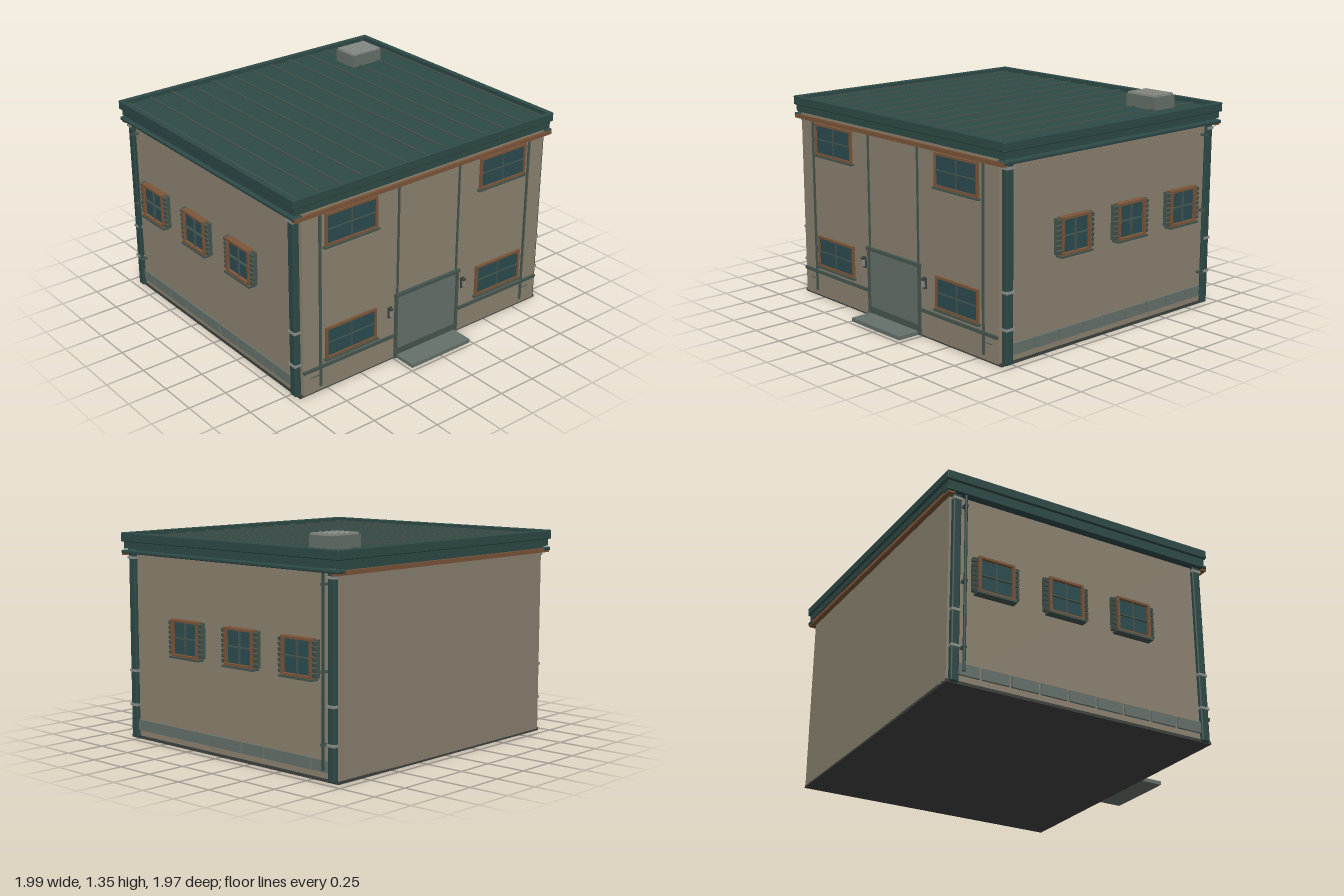
import * as THREE from 'three';
import { RoundedBoxGeometry } from 'three/addons/geometries/RoundedBoxGeometry.js';

const mat = (color) => new THREE.MeshStandardMaterial({ color });
const WALL = mat(0x8c8371), TEAL = mat(0x2e4a47), TRIM = mat(0x46564f), WOOD = mat(0x7c563a),
  GLASS = mat(0x2c4c50), PANEL = mat(0x66716a), METAL = mat(0x8d918a), DARK = mat(0x3e423e);

// Box given by its extents on each axis
function box(parent, name, m, [x0, x1], [y0, y1], [z0, z1], radius = 0) {
  const s = [x1 - x0, y1 - y0, z1 - z0];
  const g = radius ? new RoundedBoxGeometry(...s, 2, radius) : new THREE.BoxGeometry(...s);
  const mesh = new THREE.Mesh(g, m);
  mesh.name = name;
  mesh.position.set((x0 + x1) / 2, (y0 + y1) / 2, (z0 + z1) / 2);
  parent.add(mesh);
  return mesh;
}

// Window facing +z, origin at its centre on the wall
function makeWindow(w, h, depth, shutters) {
  const g = new THREE.Group(), a = w / 2, b = h / 2, t = 0.014;
  g.name = 'window';
  box(g, 'glass', GLASS, [-a + t, a - t], [-b + t, b - t], [-0.01, depth * 0.5]);
  for (const s of [-1, 1]) {
    const o = [s * a, s * (a - t)].sort((p, q) => p - q);
    const v = [s * b, s * (b - t)].sort((p, q) => p - q);
    box(g, 'frameSide', WOOD, o, [-b, b], [-0.01, depth]);
    box(g, 'frameRail', WOOD, [-a + t, a - t], v, [-0.01, depth]);
    if (!shutters) continue;
    // Narrow louvred shutter
    const c = s * (a + 0.016);
    box(g, 'shutter', TRIM, [c - 0.012, c + 0.012], [-b + 0.005, b - 0.005], [-0.01, depth * 0.4]);
    for (let i = 0; i < 7; i++) {
      const y = -b + 0.022 + i * (h - 0.044) / 6;
      box(g, 'shutterSlat', TRIM, [c - 0.015, c + 0.015], [y - 0.011, y + 0.011], [0, depth * 0.75]).rotation.x = 0.2;
    }
  }
  box(g, 'mullion', TRIM, [-0.004, 0.004], [-b + t, b - t], [0, depth * 0.8]);
  box(g, 'transom', TRIM, [-a + t, a - t], [-0.004, 0.004], [0, depth * 0.8]);
  box(g, 'sill', TRIM, [-a - 0.012, a + 0.012], [-b - 0.012, -b], [-0.01, depth + 0.006]);
  return g;
}

// Everything on one long side, built on the +x side
function makeSide() {
  const g = new THREE.Group();
  g.name = 'sideWallDetails';
  for (const z of [0.274, -0.193, -0.657]) {
    const w = makeWindow(0.232, 0.224, 0.04, true);
    w.position.set(0.95, 0.682, z);
    w.rotation.y = Math.PI / 2;
    g.add(w);
  }
  for (let i = 0; i < 9; i++) {
    const z = 0.665 - i * 0.187;
    box(g, 'plinthPanel', PANEL, [0.94, 0.958], [0.055, 0.122], [z - 0.086, z + 0.086]);
  }
  // Corner posts with clamps
  for (const [z0, z1] of [[0.747, 0.803], [-0.93, -0.878]]) {
    box(g, 'cornerPost', TEAL, [0.92, 0.968], [0.004, 1.19], [z0, z1], 0.01);
    for (const y of [0.215, 0.432, 1.138])
      box(g, 'postClamp', METAL, [0.918, 0.973], [y - 0.008, y + 0.008], [z0 - 0.003, z1 + 0.003]);
  }
  // Downpipe and gutter
  const pipe = new THREE.Mesh(new THREE.CylinderGeometry(0.009, 0.009, 1.1, 12), TEAL);
  pipe.name = 'downpipe';
  pipe.position.set(0.977, 0.62, -0.855);
  g.add(pipe);
  for (const y of [0.215, 0.62, 1.1])
    box(g, 'pipeBracket', TRIM, [0.94, 0.988], [y - 0.007, y + 0.007], [-0.867, -0.843]);
  box(g, 'gutter', TEAL, [0.93, 0.994], [1.163, 1.184], [-0.98, 0.84], 0.006);
  box(g, 'sideParapet', TEAL, [0.965, 0.995], [1.235, 1.292], [-0.984, 0.843], 0.006);
  return g;
}

// Half of the front, built on the +x side
function makeFrontHalf() {
  const g = new THREE.Group();
  g.name = 'frontDetails';
  for (const y of [1.045, 0.314]) {
    const w = makeWindow(0.374, 0.202, 0.016, false);
    w.position.set(0.585, y, 0.828);
    g.add(w);
  }
  box(g, 'wallStrip', TRIM, [0.799, 0.815], [0.04, 1.16], [0.82, 0.836]);
  box(g, 'centreStrip', TRIM, [0.228, 0.24], [0.45, 1.17], [0.82, 0.836]);
  box(g, 'waterTable', TRIM, [0.262, 0.93], [0.16, 0.18], [0.82, 0.84]);
  box(g, 'wallVent', TRIM, [0.812, 0.878], [0.114, 0.118], [0.82, 0.831]);
  box(g, 'doorJamb', TRIM, [0.234, 0.252], [0.01, 0.435], [0.82, 0.842]);
  // Wall lamp
  box(g, 'lampPlate', DARK, [0.277, 0.305], [0.308, 0.378], [0.82, 0.838]);
  box(g, 'lampShade', METAL, [0.284, 0.298], [0.32, 0.362], [0.835, 0.85]);
  box(g, 'lampCap', DARK, [0.28, 0.302], [0.362, 0.372], [0.835, 0.855]);
  return g;
}

function mirrored(parent, make) {
  for (const s of [1, -1]) {
    const g = make();
    g.scale.x = s;
    parent.add(g);
  }
}

export function createModel() {
  const model = new THREE.Group();
  model.name = 'building';

  // Walls and base
  box(model, 'mainWalls', WALL, [-0.945, 0.945], [0.012, 1.2], [-0.925, 0.8]);
  box(model, 'frontWall', WALL, [-0.93, 0.93], [0.012, 1.2], [0.79, 0.828]);
  box(model, 'backWall', WALL, [-0.94, 0.94], [0.012, 1.2], [-0.945, -0.92]);
  box(model, 'basePlate', DARK, [-0.95, 0.95], [0, 0.018], [-0.945, 0.822]);
  mirrored(model, makeSide);
  mirrored(model, makeFrontHalf);

  // Doorway
  box(model, 'door', PANEL, [-0.236, 0.236], [0.03, 0.435], [0.82, 0.832]);
  box(model, 'doorKickPlate', TRIM, [-0.234, 0.234], [0.03, 0.07], [0.825, 0.838]);
  box(model, 'doorLintel', TRIM, [-0.258, 0.258], [0.432, 0.452], [0.82, 0.848]);
  box(model, 'doorstep', PANEL, [-0.234, 0.23], [0.006, 0.03], [0.8, 0.982]);

  // Cornice
  box(model, 'frontFrieze', WOOD, [-0.985, 0.985], [1.152, 1.178], [0.81, 0.844]);
  box(model, 'backFrieze', WOOD, [-0.985, 0.985], [1.152, 1.178], [-0.975, -0.93]);
  box(model, 'corniceCore', TEAL, [-0.955, 0.955], [1.176, 1.2], [-0.955, 0.825]);
  box(model, 'corniceBand', TEAL, [-0.978, 0.978], [1.192, 1.235], [-0.972, 0.832]);

  // Roof deck, parapet and standing seams
  box(model, 'roofDeck', TEAL, [-0.98, 0.98], [1.235, 1.262], [-0.975, 0.835]);
  box(model, 'frontParapet', TEAL, [-0.995, 0.995], [1.235, 1.292], [0.815, 0.843], 0.006);
  box(model, 'backParapet', TEAL, [-0.995, 0.995], [1.235, 1.292], [-0.984, -0.956], 0.006);
  for (let i = -6; i <= 6; i++) {
    const x = i * 0.156;
    box(model, 'roofSeam', TRIM, [x - 0.004, x + 0.004], [1.26, 1.272], [-0.956, 0.815]);
  }

  // Rooftop vent
  box(model, 'roofVent', PANEL, [0.562, 0.8], [1.26, 1.342], [-0.757, -0.58]);
  for (let i = 0; i < 8; i++) {
    const z = -0.745 + i * 0.022;
    box(model, 'ventSlat', METAL, [0.57, 0.792], [1.34, 1.354], [z - 0.005, z + 0.008]);
  }
  return model;
}
